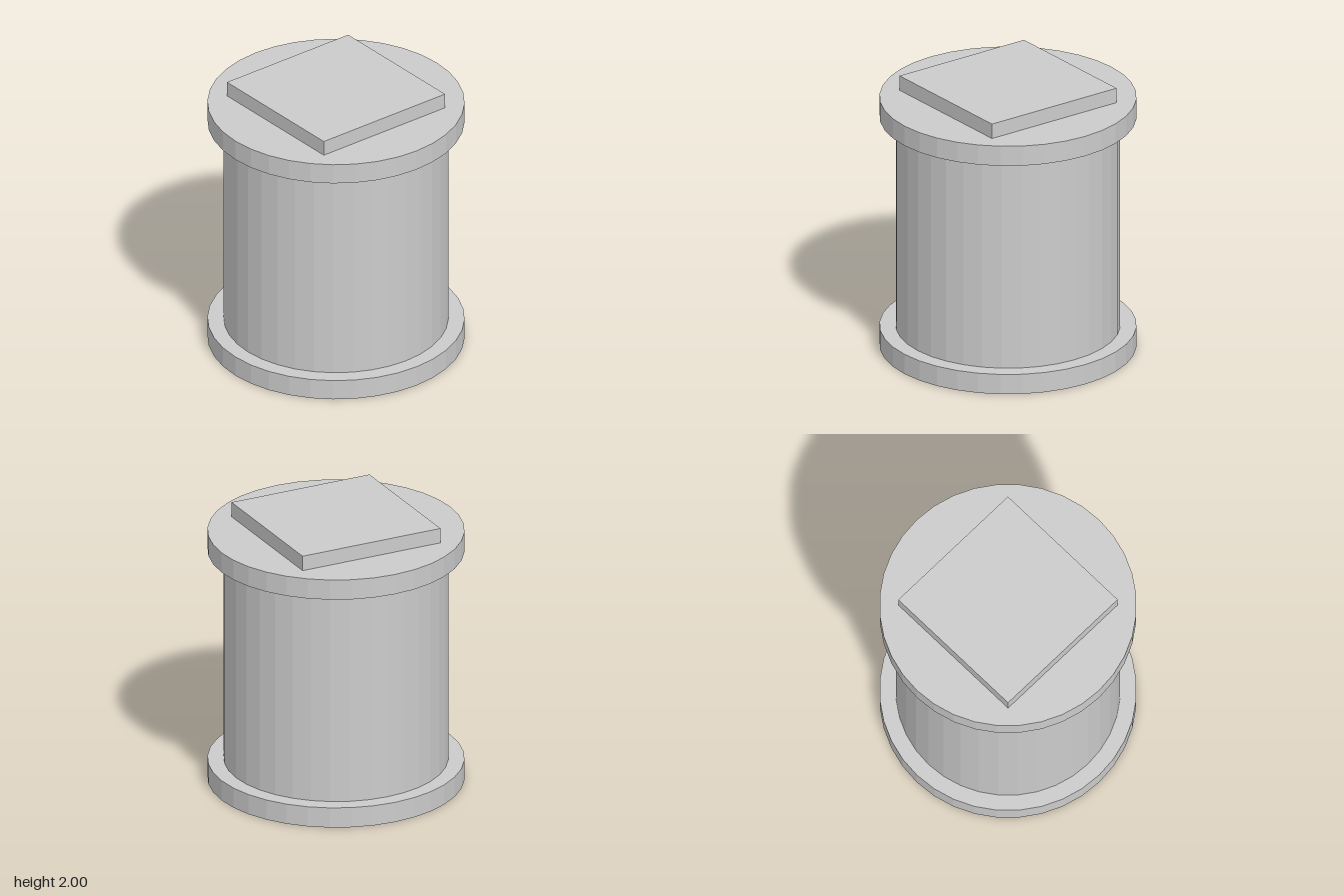
import * as THREE from 'three';

const SIDES = 36;

export function createModel() {
  const model = new THREE.Group();
  model.name = 'spool';
  const material = new THREE.MeshStandardMaterial({ color: 0xcccccc, flatShading: true });

  // Adds a part standing on height y
  const add = (name, geometry, y, height) => {
    const mesh = new THREE.Mesh(geometry, material);
    mesh.name = name;
    mesh.position.y = y + height / 2;
    model.add(mesh);
  };
  const disc = (name, radius, y, height) =>
    add(name, new THREE.CylinderGeometry(radius, radius, height, SIDES), y, height);

  // Flanges with the drum between them
  disc('bottomFlange', 0.904, 0, 0.15);
  disc('drum', 0.79, 0.15, 1.59);
  disc('topFlange', 0.904, 1.74, 0.15);

  // Square plate on top
  add('topPlate', new THREE.BoxGeometry(1.09, 0.11, 1.09), 1.89, 0.11);

  return model;
}
